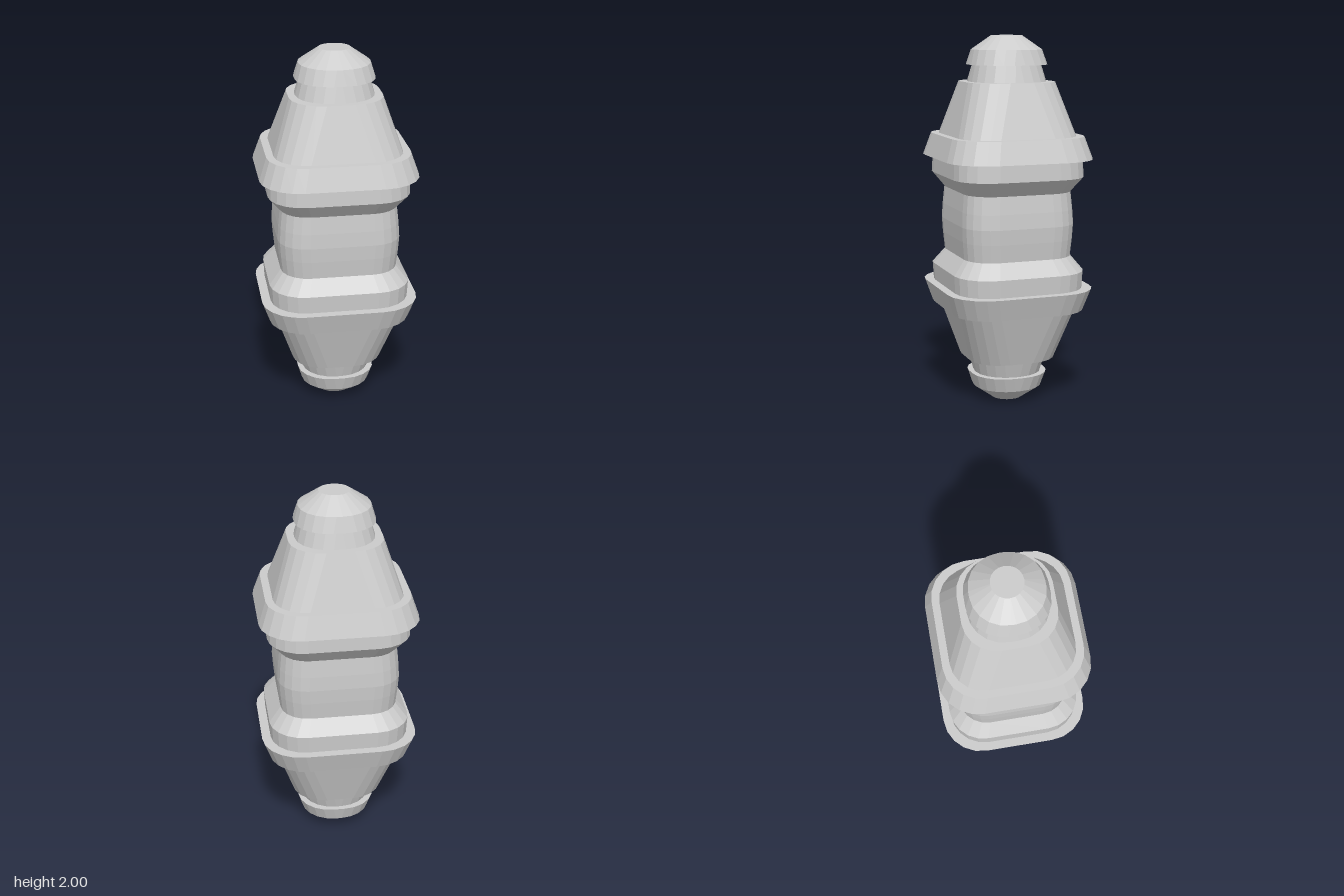
import * as THREE from 'three';

const CORNER_STEPS = 5;

// Rounded-rectangle outline: half width, half depth, corner radius
function outline(hx, hz, r) {
  const pts = [];
  for (let q = 0; q < 4; q++) {
    const cx = (q === 0 || q === 3 ? 1 : -1) * Math.max(hx - r, 0.0005);
    const cz = (q < 2 ? 1 : -1) * Math.max(hz - r, 0.0005);
    for (let i = 0; i <= CORNER_STEPS; i++) {
      const a = (q + i / CORNER_STEPS) * Math.PI / 2;
      pts.push([cx + r * Math.cos(a), cz + r * Math.sin(a)]);
    }
  }
  return pts;
}

// Closed solid through a stack of outlines, rows [y, hx, hz, r] from bottom to top
function loft(name, rows, material) {
  const rings = rows.map(([y, hx, hz, r]) => outline(hx, hz, r).map(([x, z]) => [x, y, z]));
  const n = rings[0].length;
  const pos = [];
  const tri = (a, b, c) => pos.push(...a, ...b, ...c);
  for (let k = 0; k < rings.length - 1; k++) {
    for (let i = 0; i < n; i++) {
      const j = (i + 1) % n, lo = rings[k], hi = rings[k + 1];
      tri(lo[i], hi[i], hi[j]);
      tri(lo[i], hi[j], lo[j]);
    }
  }
  const first = rings[0], last = rings[rings.length - 1];
  const bottom = [0, rows[0][0], 0], top = [0, rows[rows.length - 1][0], 0];
  for (let i = 0; i < n; i++) {
    const j = (i + 1) % n;
    tri(bottom, first[i], first[j]);
    tri(top, last[j], last[i]);
  }
  const geo = new THREE.BufferGeometry();
  geo.setAttribute('position', new THREE.Float32BufferAttribute(pos, 3));
  geo.computeVertexNormals();
  const mesh = new THREE.Mesh(geo, material);
  mesh.name = name;
  return mesh;
}

// One half of the body, heights measured from the middle
function createEnd(name, material) {
  const end = new THREE.Group();
  end.name = name;
  const parts = {
    flaredBand: [[0.175, 0.315, 0.297, 0.15], [0.255, 0.38, 0.36, 0.19], [0.35, 0.375, 0.355, 0.19]],
    collar: [[0.35, 0.423, 0.402, 0.215], [0.47, 0.382, 0.364, 0.2]],
    taperedHousing: [[0.47, 0.342, 0.325, 0.175], [0.755, 0.248, 0.24, 0.175]],
    neck: [[0.755, 0.21, 0.205, 0.18], [0.845, 0.185, 0.182, 0.17]],
    cap: [[0.845, 0.213, 0.21, 0.18], [0.925, 0.19, 0.187, 0.175], [1, 0.084, 0.082, 0.081]],
  };
  for (const [part, rows] of Object.entries(parts)) end.add(loft(part, rows, material));
  return end;
}

export function createModel() {
  const model = new THREE.Group();
  model.name = 'canister';
  const grey = new THREE.MeshStandardMaterial({ color: 0xcccccc, flatShading: true });

  // Slightly bulging middle
  model.add(loft('waist', [
    [0.825, 0.315, 0.297, 0.15],
    [0.92, 0.325, 0.306, 0.155],
    [1, 0.33, 0.31, 0.155],
    [1.08, 0.325, 0.306, 0.155],
    [1.175, 0.315, 0.297, 0.15],
  ], grey));

  // Matching ends, the lower one turned over
  const upper = createEnd('upperEnd', grey);
  const lower = createEnd('lowerEnd', grey);
  upper.position.y = lower.position.y = 1;
  lower.rotation.x = Math.PI;
  model.add(upper, lower);
  return model;
}
